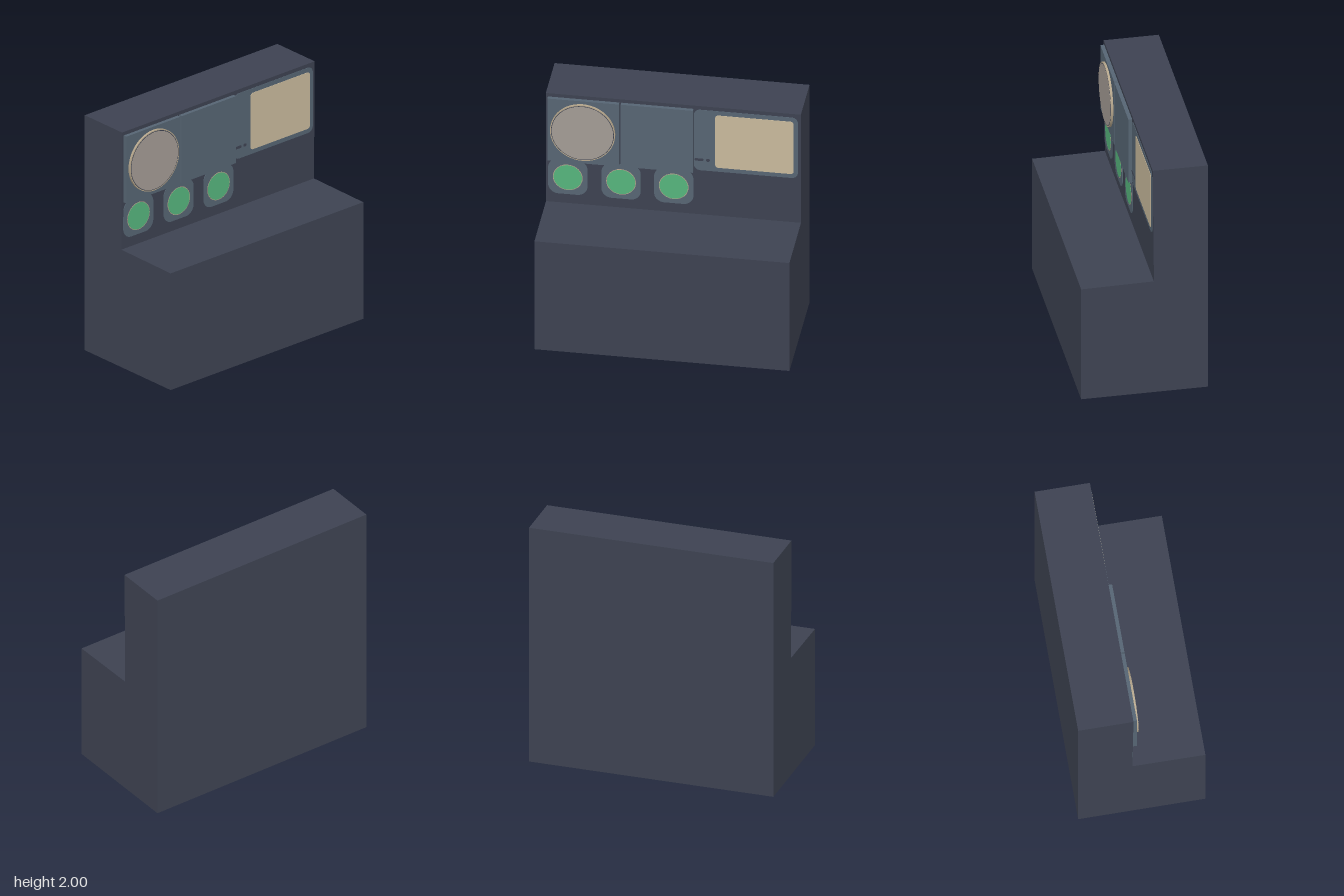
import * as THREE from 'three';

const paint = (name, color) => Object.assign(new THREE.MeshStandardMaterial({ color }), { name });

export function createModel() {
  const model = new THREE.Group();
  model.name = 'controlConsole';
  const casing = paint('dark slate casing', 0x3d4251);
  const panel = paint('blue grey panel', 0x566573);
  const green = paint('green lamp', 0x55b47c);
  const cream = paint('cream screen', 0xc8b99c);
  const tan = paint('tan rim', 0xb5a68c);
  const dialGrey = paint('warm grey dial', 0xa39b94);

  const add = (name, geometry, material, x = 0, y = 0, z = 0) => {
    const mesh = new THREE.Mesh(geometry, material);
    mesh.name = name;
    mesh.position.set(x, y, z);
    model.add(mesh);
    return mesh;
  };
  const extrude = (shape, depth) =>
    new THREE.ExtrudeGeometry(shape, { depth, bevelEnabled: false, curveSegments: 8 });

  // Thin rounded plate, centred in x and y, with its back at z
  const plate = (name, w, h, r, depth, material, x, y, z) => {
    const s = new THREE.Shape();
    const a = w / 2, b = h / 2;
    s.absarc(a - r, b - r, r, 0, Math.PI / 2);
    s.absarc(r - a, b - r, r, Math.PI / 2, Math.PI);
    s.absarc(r - a, r - b, r, Math.PI, Math.PI * 1.5);
    s.absarc(a - r, r - b, r, Math.PI * 1.5, Math.PI * 2);
    return add(name, extrude(s, depth), material, x, y, z);
  };
  // Round disc facing the front, with its back at z
  const disc = (name, radius, depth, sides, material, x, y, z) =>
    add(name, new THREE.CylinderGeometry(radius, radius, depth, sides).rotateX(Math.PI / 2),
      material, x, y, z + depth / 2);

  // Stepped casing: side profile (drawn as -z, y) swept across the width
  const profile = new THREE.Shape([
    [-0.5, 0], [0.5, 0], [0.5, 2], [0.065, 2], [0.074, 1], [-0.5, 0.993],
  ].map(([z, y]) => new THREE.Vector2(z, y)));
  add('casing', extrude(profile, 2).translate(0, 0, -1).rotateY(Math.PI / 2), casing);

  // Raised upper panels
  add('dialPanel', new THREE.BoxGeometry(0.56, 0.57, 0.04), panel, -0.703, 1.685, -0.055);
  add('blankPanel', new THREE.BoxGeometry(0.565, 0.57, 0.04), panel, -0.125, 1.685, -0.055);

  // Dial with a stepped rim
  disc('dialRim', 0.255, 0.018, 48, tan, -0.705, 1.69, -0.035);
  disc('dialGroove', 0.247, 0.001, 48, casing, -0.705, 1.69, -0.017);
  disc('dialFace', 0.242, 0.002, 48, dialGrey, -0.705, 1.69, -0.017);

  // Painted screen area and its two small slots
  plate('screenSurround', 0.815, 0.555, 0.05, 0.006, panel, 0.57, 1.69, -0.068);
  plate('screen', 0.615, 0.48, 0.025, 0.003, cream, 0.637, 1.69, -0.062);
  plate('longSlot', 0.07, 0.022, 0.01, 0.002, casing, 0.202, 1.51, -0.062);
  plate('shortSlot', 0.03, 0.026, 0.012, 0.002, casing, 0.272, 1.51, -0.062);

  // Row of lamps on rounded plates
  for (const x of [-0.828, -0.41, 0.003]) {
    plate('lampPlate', 0.308, 0.315, 0.08, 0.005, panel, x, 1.243, -0.072);
    disc('lampRim', 0.117, 0.001, 24, tan, x, 1.24, -0.067);
    disc('lamp', 0.112, 0.002, 24, green, x, 1.24, -0.067);
  }
  return model;
}
